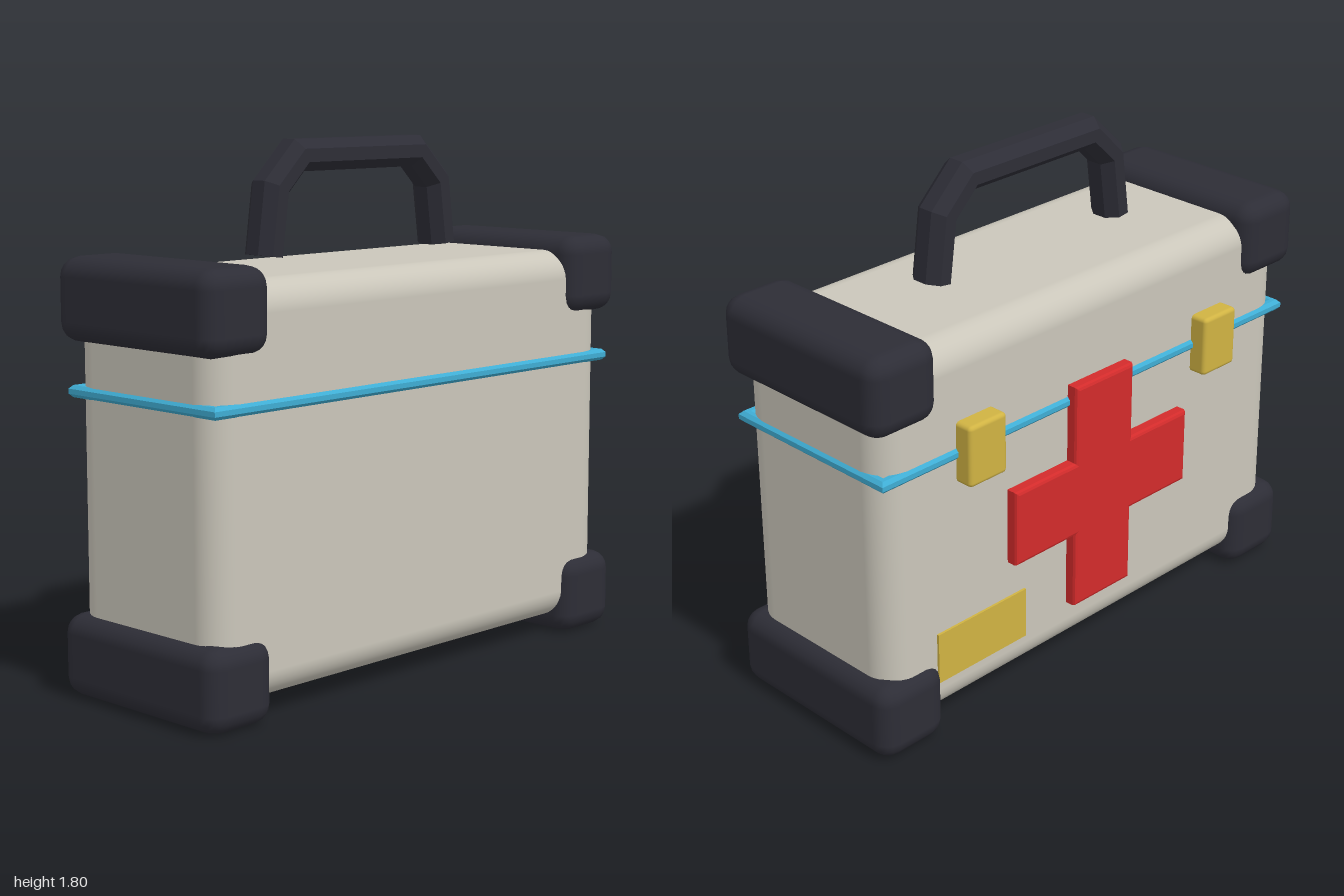
import * as THREE from 'three';
import { RoundedBoxGeometry } from 'three/addons/geometries/RoundedBoxGeometry.js';

const material = (name, color) => {
  const m = new THREE.MeshStandardMaterial({ color });
  m.name = name;
  return m;
};

// Sweeps a polygon section along a path with mitred bends; "up" is the path plane's normal.
function mitredTube(path, up, halfIn, halfUp, sides, closed) {
  const n = path.length;
  const rings = path.map((p, i) => {
    const before = closed || i > 0 ? p.clone().sub(path[(i + n - 1) % n]).normalize() : null;
    const after = closed || i < n - 1 ? path[(i + 1) % n].clone().sub(p).normalize() : null;
    const a = before || after, b = after || before;
    const dir = a.clone().add(b).normalize();
    const out = up.clone().cross(dir).normalize().multiplyScalar(halfIn / dir.dot(a));
    return Array.from({ length: sides }, (_, k) => {
      const t = ((k + 0.5) / sides) * Math.PI * 2, s = 1 / Math.cos(Math.PI / sides);
      return p.clone().addScaledVector(out, Math.cos(t) * s).addScaledVector(up, Math.sin(t) * halfUp * s);
    });
  });
  const tris = [];
  for (let i = 0; i < (closed ? n : n - 1); i++) {
    const r = rings[i], q = rings[(i + 1) % n];
    for (let k = 0; k < sides; k++) {
      const l = (k + 1) % sides;
      tris.push(r[k], q[l], r[l], r[k], q[k], q[l]);
    }
  }
  // End caps
  if (!closed) {
    for (let k = 1; k < sides - 1; k++) {
      const s = rings[0], e = rings[n - 1];
      tris.push(s[0], s[k], s[k + 1], e[0], e[k + 1], e[k]);
    }
  }
  // Keep the winding outward whichever way the path runs
  let volume = 0;
  for (let i = 0; i < tris.length; i += 3) volume += tris[i].dot(tris[i + 1].clone().cross(tris[i + 2]));
  if (volume < 0) tris.reverse();
  const geometry = new THREE.BufferGeometry().setFromPoints(tris);
  geometry.computeVertexNormals();
  return geometry;
}

export function createModel() {
  const shell = material('warm grey shell', 0xcac6ba);
  const rubber = material('dark rubber', 0x2d2d36);
  const blue = material('blue trim', 0x3fadd4);
  const red = material('red', 0xd32b2b);
  const brass = material('brass', 0xd0b343);

  const group = new THREE.Group();
  group.name = 'medicalCase';
  const midZ = 0.016;
  const add = (name, geometry, mat, x = 0, y = 0, z = 0) => {
    const mesh = new THREE.Mesh(geometry, mat);
    mesh.name = name;
    mesh.position.set(x, y, z);
    group.add(mesh);
    return mesh;
  };

  // Case body
  add('body', new RoundedBoxGeometry(1.9, 1.33, 0.675, 5, 0.1), shell, 0, 0.725, midZ);

  // Bumpers along the four short edges
  const bumper = new RoundedBoxGeometry(0.275, 0.275, 0.74, 2, 0.065);
  for (const x of [-0.8625, 0.8625]) {
    for (const y of [0.1375, 1.3025]) add('cornerBumper', bumper, rubber, x, y, midZ);
  }

  // Lid seam trim with sharp corners
  const seam = [[-1, -1], [1, -1], [1, 1], [-1, 1]].map(
    ([x, z]) => new THREE.Vector3(x * 0.94, 1.003, midZ + z * 0.328));
  add('seamTrim', mitredTube(seam, new THREE.Vector3(0, 1, 0), 0.02, 0.02, 8, true), blue);

  // Carrying handle
  const grip = [[-0.42, 1.425], [-0.39, 1.645], [-0.283, 1.748], [0.283, 1.748], [0.39, 1.645], [0.42, 1.425]]
    .map(([x, y]) => new THREE.Vector3(x, y, midZ));
  add('handle', mitredTube(grip, new THREE.Vector3(0, 0, 1), 0.053, 0.066, 8, false), rubber);

  // Raised cross on the back
  const b = 0.012, arm = 0.137 - b, reach = 0.417 - b;
  const outline = [[arm, arm], [arm, reach], [-arm, reach], [-arm, arm], [-reach, arm], [-reach, -arm],
    [-arm, -arm], [-arm, -reach], [arm, -reach], [arm, -arm], [reach, -arm], [reach, arm]];
  const cross = new THREE.ExtrudeGeometry(new THREE.Shape(outline.map(([x, y]) => new THREE.Vector2(x, y))), {
    depth: 0.036, bevelEnabled: true, bevelThickness: b, bevelSize: b, bevelSegments: 2 });
  add('cross', cross, red, 0, 0.648, -0.353);

  // Latches across the seam
  const latch = new RoundedBoxGeometry(0.163, 0.215, 0.085, 2, 0.015);
  for (const x of [-0.56, 0.56]) add('latch', latch, brass, x, 1.007, -0.3435);

  // Name plate, left blank
  add('plate', new THREE.BoxGeometry(0.4, 0.185, 0.009), brass, 0.54, 0.285, -0.3255);

  return group;
}
